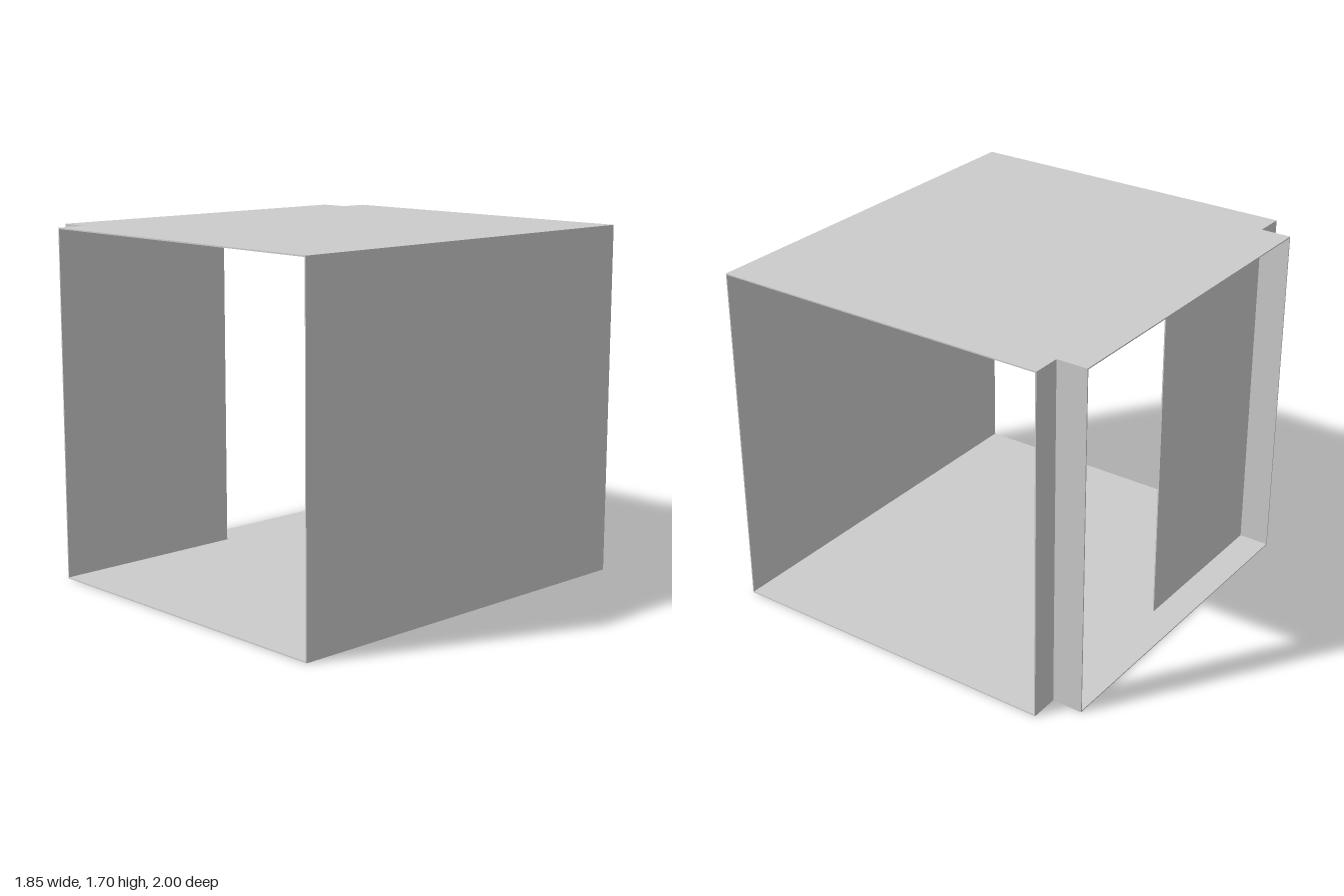
import * as THREE from 'three';

const T = 0.006;                       // sheet thickness
const H = 1.7;                         // overall height
const X = 0.923, IN = -0.773;          // side wall, recessed wall
const ZF = 0.854, ZB = -0.859;         // front and back notch lines

export function createModel() {
  const group = new THREE.Group();
  const material = new THREE.MeshStandardMaterial({ color: 0xcccccc, flatShading: true });

  const add = (name, geometry) => {
    const mesh = new THREE.Mesh(geometry, material);
    mesh.name = name;
    group.add(mesh);
    return mesh;
  };
  // Box given by its x and z ranges, standing between floor and roof
  const wall = (name, x0, x1, z0, z1) => {
    const mesh = add(name, new THREE.BoxGeometry(x1 - x0, H - 2 * T, z1 - z0));
    mesh.position.set((x0 + x1) / 2, H / 2, (z0 + z1) / 2);
  };

  // Floor and roof: sheets with two notched corners (shape y becomes -z)
  const outline = new THREE.Shape([
    [X, -1], [X, 1], [IN, 1], [IN, -ZB], [-X, -ZB], [-X, -ZF], [IN, -ZF], [IN, -1],
  ].map(([x, y]) => new THREE.Vector2(x, y)));
  const sheet = new THREE.ExtrudeGeometry(outline, { depth: T, bevelEnabled: false }).rotateX(-Math.PI / 2);
  add('floor', sheet);
  add('roof', sheet).position.y = H - T;

  // Full side wall, and the recessed wall with its opening
  wall('sideWall', X - T, X, -1, 1);
  wall('recessedWall', IN, IN + T, -0.005, 1);
  wall('rearStubWall', IN, IN + T, -1, ZB + T);

  // Short returns closing the ends of the projecting bay
  wall('frontReturn', -X, IN, ZF - T, ZF);
  wall('rearReturn', -X, IN, ZB, ZB + T);

  return group;
}
